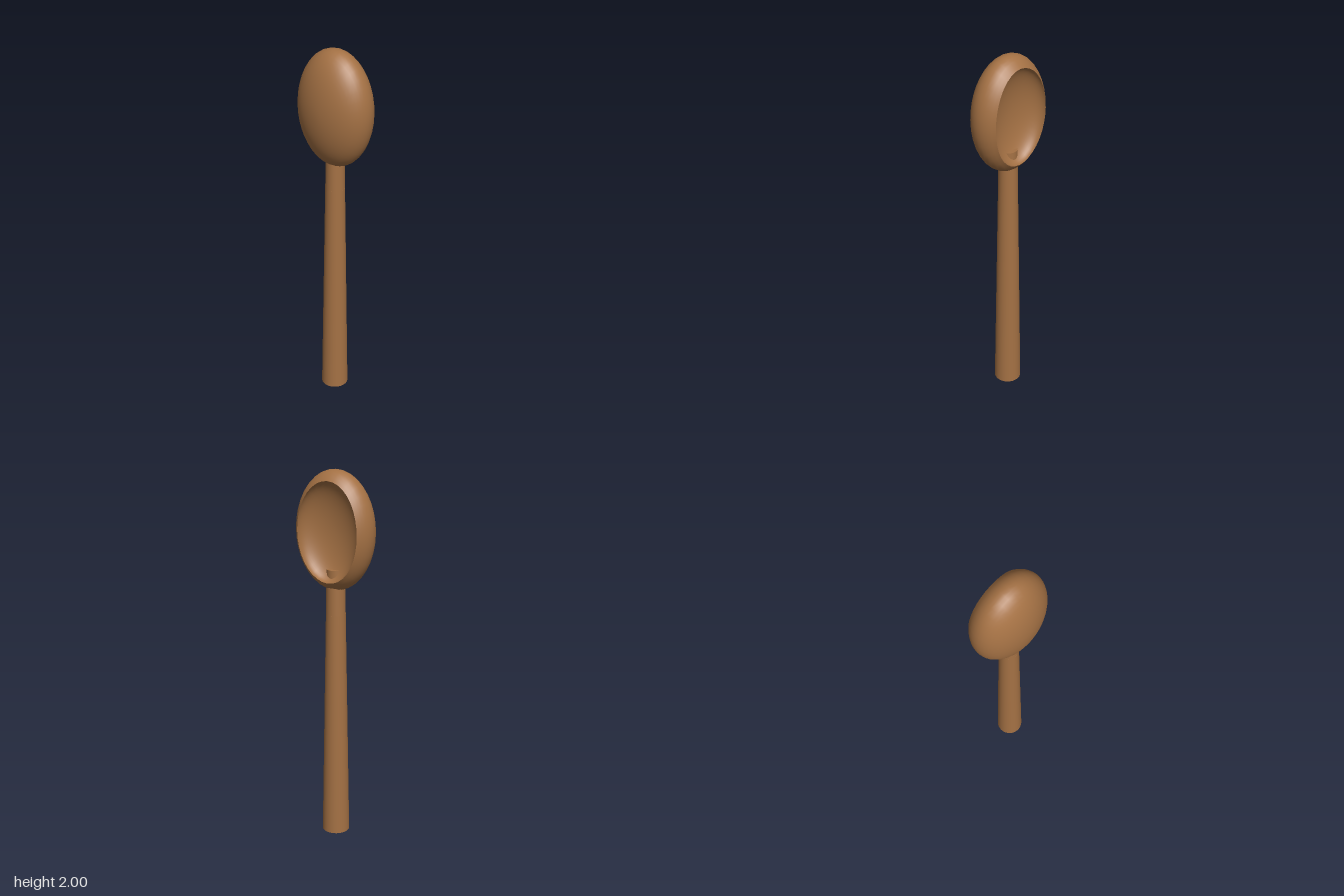
import * as THREE from 'three';

const SEGMENTS = 36, RINGS = 18;
const BOWL = { y: 1.69, z: -0.03, rx: 0.22, ry: 0.31, rz: 0.145 };

// Closed-centre dish: point(t, phi) runs from the centre (t = 0) to the rim (t = 1).
function dishGeometry(point, facesBack) {
  const positions = [...point(0, 0)], indices = [];
  for (let i = 1; i <= RINGS; i++) {
    for (let j = 0; j < SEGMENTS; j++) {
      positions.push(...point(i / RINGS, (j / SEGMENTS) * Math.PI * 2));
    }
  }
  const id = (i, j) => (i === 0 ? 0 : 1 + (i - 1) * SEGMENTS + (j % SEGMENTS));
  const tri = (a, b, c) => indices.push(...(facesBack ? [a, c, b] : [a, b, c]));
  for (let i = 0; i < RINGS; i++) {
    for (let j = 0; j < SEGMENTS; j++) {
      const a = id(i, j), b = id(i + 1, j), c = id(i + 1, j + 1), d = id(i, j + 1);
      tri(a, b, c);
      if (i > 0) tri(a, c, d);
    }
  }
  const geometry = new THREE.BufferGeometry();
  geometry.setAttribute('position', new THREE.Float32BufferAttribute(positions, 3));
  geometry.setIndex(indices);
  geometry.computeVertexNormals();
  return geometry;
}

// Rim dips slightly at the tip and the neck
const rimZ = (phi) => -0.118 + 0.009 * Math.sin(phi) ** 2;
const rimAngle = (phi) => Math.acos((rimZ(phi) - BOWL.z) / BOWL.rz);

function outerPoint(t, phi) {
  const a = t * rimAngle(phi);
  return [
    BOWL.rx * Math.sin(a) * Math.cos(phi),
    BOWL.y + BOWL.ry * Math.sin(a) * Math.sin(phi),
    BOWL.z + BOWL.rz * Math.cos(a),
  ];
}

function hollowPoint(t, phi) {
  const [x, y, z] = outerPoint(1, phi);
  const a = (t * Math.PI) / 2;
  return [
    x * Math.sin(a),
    BOWL.y + (y - BOWL.y) * Math.sin(a),
    z + (-0.018 - z) * Math.cos(a),
  ];
}

export function createModel() {
  const model = new THREE.Group();
  model.name = 'woodenSpoon';
  const wood = new THREE.MeshStandardMaterial({ color: 0xa47144 });
  wood.name = 'wood';

  const add = (name, geometry) => {
    const mesh = new THREE.Mesh(geometry, wood);
    mesh.name = name;
    model.add(mesh);
    return mesh;
  };

  // Upright tapered rod between two heights
  const rod = (name, bottom, top, rBottom, rTop) => {
    const mesh = add(name, new THREE.CylinderGeometry(rTop, rBottom, top - bottom, 32));
    mesh.position.set(0, (bottom + top) / 2, -0.028);
  };

  // Bowl: rounded outside and carved hollow
  add('bowlOutside', dishGeometry(outerPoint, false));
  add('bowlHollow', dishGeometry(hollowPoint, true));

  // Handle, and the neck whose end shows inside the hollow
  rod('handle', 0, 1.25, 0.074, 0.052);
  rod('neck', 1.24, 1.49, 0.052, 0.048);

  return model;
}
